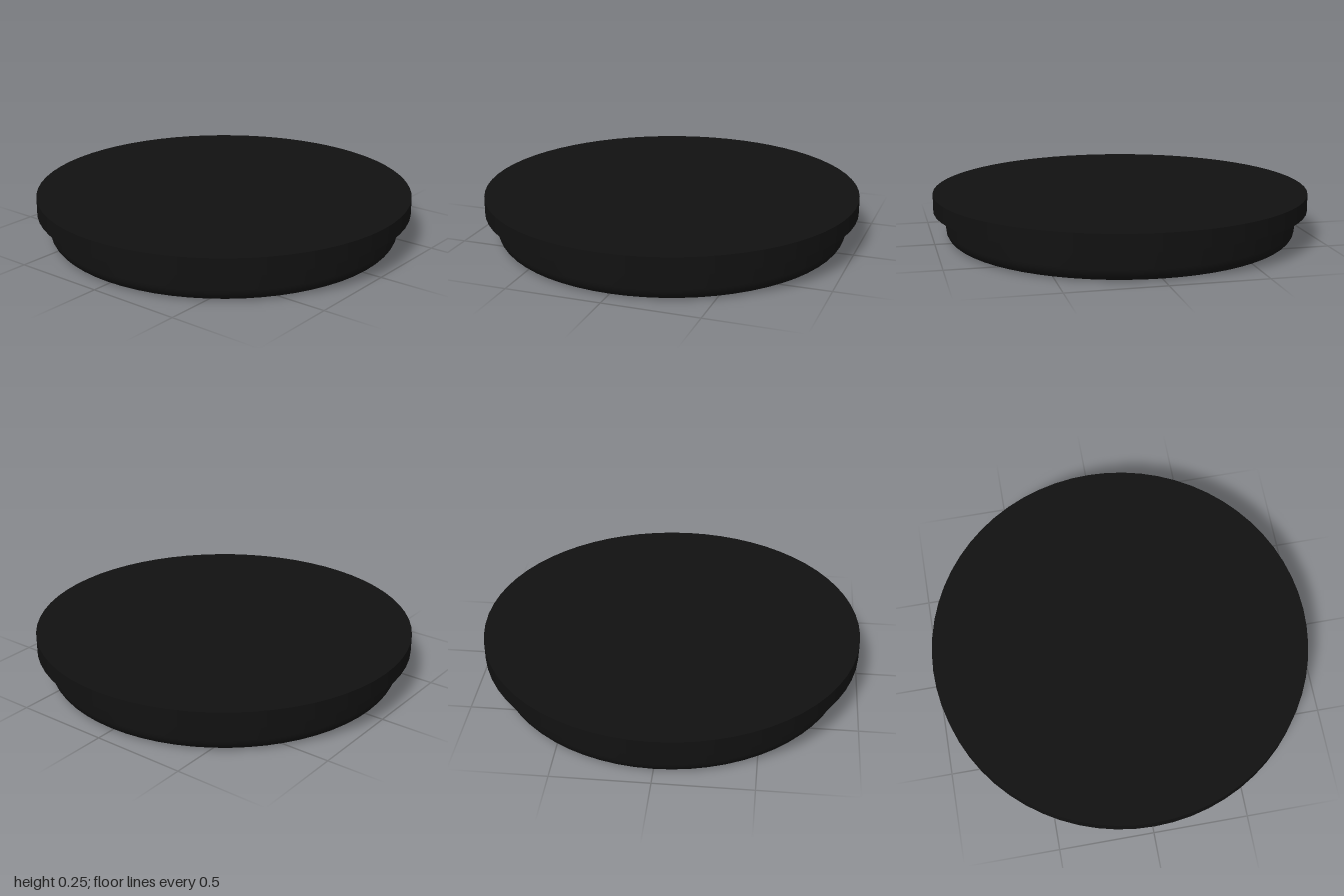
import * as THREE from 'three';

const SIDES = 64;

export function createModel() {
  const group = new THREE.Group();
  group.name = 'roundLid';
  const material = new THREE.MeshStandardMaterial({ color: 0x111111 });

  // Flat disc with a hard-edged overhanging rim
  const top = 0.255, rimBottom = 0.165;
  const disc = new THREE.Mesh(
    new THREE.CylinderGeometry(1, 1, top - rimBottom, SIDES), material);
  disc.name = 'topDisc';
  disc.position.y = (top + rimBottom) / 2;
  group.add(disc);

  // Narrower plug below, with a rounded lower edge
  const radius = 0.935, fillet = 0.065, steps = 8;
  const profile = [new THREE.Vector2(0, 0), new THREE.Vector2(radius - fillet - 0.005, 0)];
  for (let i = 0; i <= steps; i++) {
    const a = (i / steps) * Math.PI / 2;
    profile.push(new THREE.Vector2(
      radius - fillet + fillet * Math.sin(a),
      fillet - fillet * Math.cos(a)));
  }
  profile.push(new THREE.Vector2(radius, rimBottom));
  const plug = new THREE.Mesh(new THREE.LatheGeometry(profile, SIDES), material);
  plug.name = 'lowerPlug';
  group.add(plug);

  return group;
}
